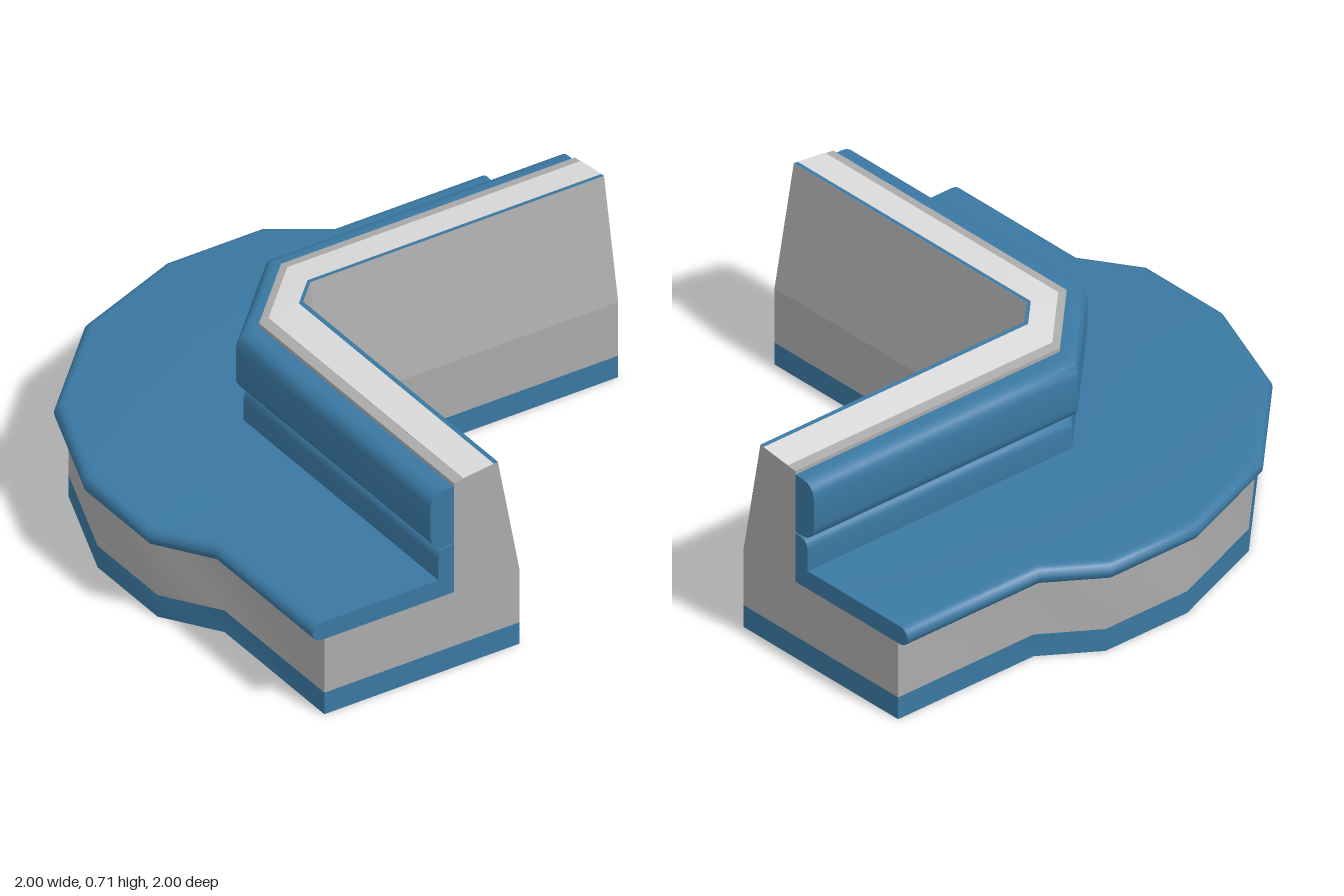
import * as THREE from 'three';
import { toCreasedNormals, mergeGeometries } from 'three/addons/utils/BufferGeometryUtils.js';

const flat = (name, color) => {
  const m = new THREE.MeshStandardMaterial({ color, side: THREE.DoubleSide });
  m.name = name;
  return m;
};

// Plan outline of the seat as [x, z], from one end of the L around to the other
const half = [[1, -0.875], [0.45, -0.875], [0.26, -1], [-0.1, -1], [-0.505, -0.845]];
const outline = [...half, ...half.map(([x, z]) => [z, x]).reverse()];

// Row of points parallel to the outline, moved inwards by s
function outer(s, y) {
  const normal = (a, b) => {
    const l = Math.hypot(b[0] - a[0], b[1] - a[1]);
    return [(b[1] - a[1]) / l, -(b[0] - a[0]) / l];
  };
  return outline.map((p, i) => {
    const n1 = normal(outline[Math.max(i - 1, 0)], outline[Math.max(i, 1)]);
    const last = outline.length - 1;
    const n2 = normal(outline[Math.min(i, last - 1)], outline[Math.min(i + 1, last)]);
    const k = s / (1 + n1[0] * n2[0] + n1[1] * n2[1]);
    return [p[0] + (n1[0] + n2[0]) * k, y, p[1] + (n1[1] + n2[1]) * k];
  });
}

// Row of points along the back at depth d, with its corner cut at 45 degrees
function inner(d, y) {
  const t = (d - 0.1) / 3;
  const a = [[1, -d], [0.45, -d], [0.26, -d], [-0.1, -d], [-0.1 - t, -d + t]];
  return [...a, ...a.map(([x, z]) => [z, x]).reverse()].map(([x, z]) => [x, y, z]);
}

// Skin joining successive rows
function sweep(rows, crease) {
  const n = rows[0].length, index = [];
  for (let r = 0; r < rows.length - 1; r++) {
    for (let s = 0; s < n - 1; s++) {
      const a = r * n + s, c = a + n;
      index.push(a, a + 1, c, a + 1, c + 1, c);
    }
  }
  const g = new THREE.BufferGeometry();
  g.setAttribute('position', new THREE.Float32BufferAttribute(rows.flat(2), 3));
  g.setIndex(index);
  return toCreasedNormals(g, crease);
}

// Flat end faces of both arms, from a [depth, height] profile
function ends(profile) {
  const face = sign => {
    const g = new THREE.ShapeGeometry(
      new THREE.Shape(profile.map(([d, y]) => new THREE.Vector2(d * sign, y)))).toNonIndexed();
    g.deleteAttribute('uv');
    return g;
  };
  return mergeGeometries([face(1).rotateY(Math.PI / 2).translate(1, 0, 0), face(-1).translate(0, 0, 1)]);
}

// Quarter-round corner points [u, v]
const arc = (cu, cv, ru, rv, from, to, n = 4) => Array.from({ length: n + 1 }, (_, i) => {
  const a = from + (to - from) * i / n;
  return [cu + Math.cos(a) * ru, cv + Math.sin(a) * rv];
});

export function createModel() {
  const group = new THREE.Group();
  const blue = flat('blue upholstery', 0x3a78a2);
  const grey = flat('grey panel', 0xababab);
  const light = flat('light grey trim', 0xdadada);
  const add = (name, geometry, material) => {
    const m = new THREE.Mesh(geometry, material);
    m.name = name;
    group.add(m);
  };
  const q = Math.PI / 2;

  // Hollow plinth, open underneath
  add('plinthFront', sweep([outer(0.045, 0), outer(0.045, 0.08)], 0.7), blue);
  add('plinthRear', sweep([inner(0.1, 0.08), inner(0.1, 0)], 0.15), blue);
  add('plinthEnds', ends([[0.1, 0], [0.83, 0], [0.83, 0.08], [0.1, 0.08]]), blue);

  // Base wall, hollow backrest and end panels
  add('baseWall', sweep([outer(0.045, 0.08), outer(0.045, 0.285)], 0.7), grey);
  const back = [[0.345, 0.28], [0.345, 0.685], [0.18, 0.705], [0.1, 0.28]];
  add('backrest', sweep([...back, [0.1, 0.08]].map(p => inner(...p)), 0.15), grey);
  add('endPanels', ends([[0.1, 0.08], [0.83, 0.08], [0.83, 0.28], ...back]), grey);

  // Thin trims on top of the backrest
  const top = (d, lift) => inner(d, 0.705 - (d - 0.18) * 0.121 + lift);
  add('topPanel', sweep([top(0.31, 0), top(0.31, 0.002), top(0.196, 0.002), top(0.196, 0)], 0.3), light);
  add('topPiping', sweep([top(0.196, 0.001), top(0.18, 0.001)], 0.3), blue);

  // Seat cushion with a rolled front edge
  const edge = arc(0.035, 0.3125, 0.035, 0.0325, 3 * q, q, 8);
  const seat = [inner(0.36, 0.28), ...edge.map(([s, y]) => outer(s, y)), inner(0.36, 0.345), inner(0.36, 0.28)];
  add('seatCushion', sweep(seat, 0.7), blue);
  add('seatCushionEnds', ends(seat.slice(0, -1).map(r => [-r[0][2], r[0][1]])), blue);

  // Two padded rolls along the backrest
  const rolls = [['lowerBackCushion', 0.403, 0.28, 0.457, 0.035], ['upperBackCushion', 0.432, 0.463, 0.672, 0.05]];
  for (const [name, d, y0, y1, r] of rolls) {
    const profile = [[0.345, y0], ...arc(d - r, y0 + r, r, r, -q, 0), ...arc(d - r, y1 - r, r, r, 0, q), [0.345, y1]];
    add(name, sweep(profile.map(p => inner(...p)), 0.7), blue);
    add(name + 'Ends', ends(profile), blue);
  }
  return group;
}
